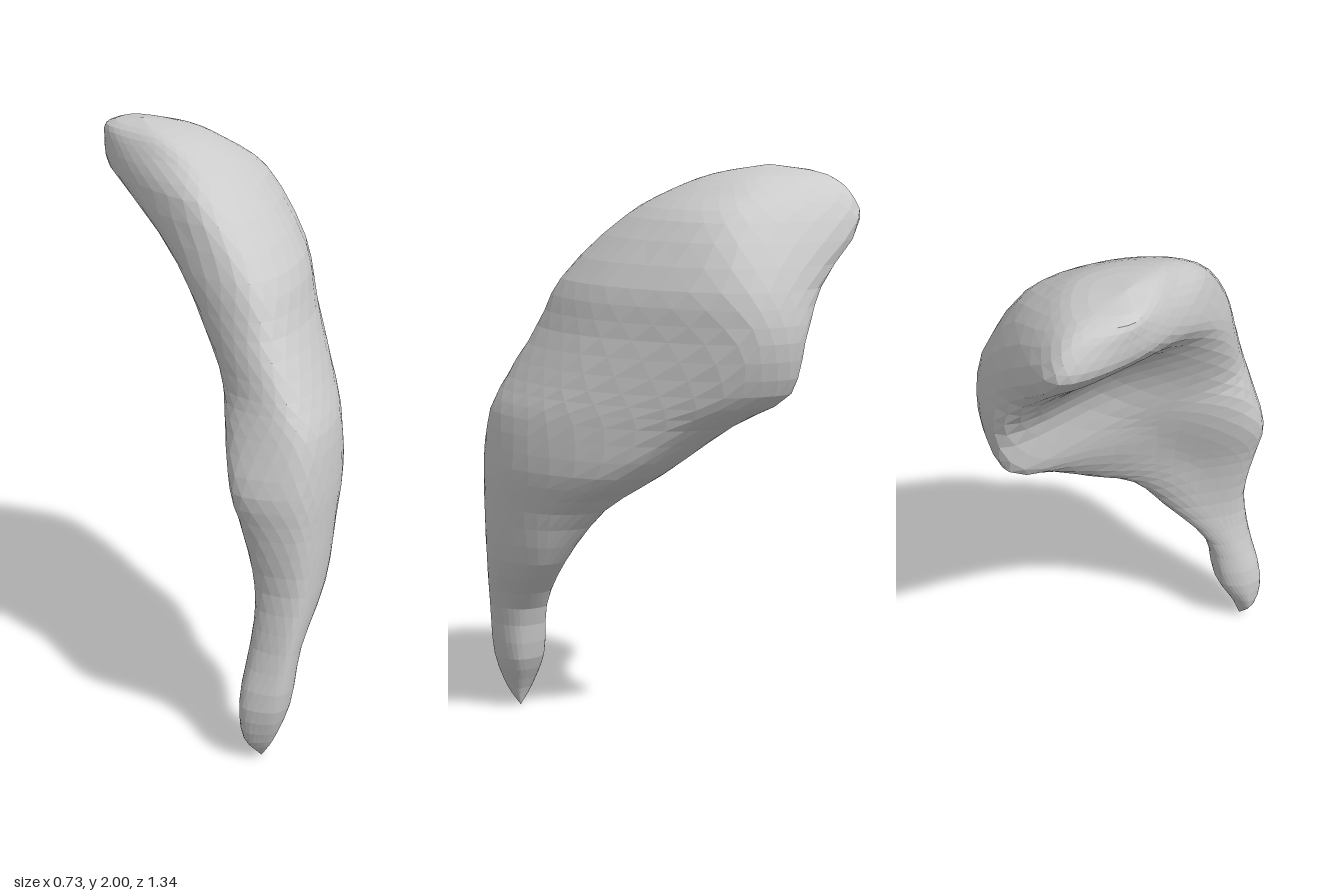
import * as THREE from 'three';

// Horizontal sections, tip to crown: height, then x, z of the left edge,
// the front, the right edge and the back.
const SECTIONS = [
  [0.07, -.345, .57, -.30, .605, -.255, .56, -.29, .525],
  [0.2, -.365, .56, -.30, .65, -.18, .55, -.25, .47],
  [0.4, -.31, .55, -.25, .66, -.14, .53, -.20, .45],
  [0.6, -.29, .53, -.21, .66, .015, .45, -.06, .36],
  [0.8, -.33, .52, -.21, .665, .10, .37, .02, .21],
  [0.95, -.365, .50, -.21, .667, .225, .15, .11, 0],
  [1.13, -.33, .43, -.20, .64, .285, -.06, .15, -.245],
  [1.25, -.30, .38, -.21, .58, .33, -.22, .20, -.44],
  [1.43, -.305, .26, -.22, .47, .362, -.31, .21, -.487],
  [1.6, -.312, .12, -.22, .38, .352, -.30, .10, -.535],
  [1.82, -.30, -.20, -.24, .145, .23, -.25, -.065, -.668],
  [1.91, -.28, -.27, -.20, -.01, .11, -.29, -.08, -.63],
  [1.967, -.25, -.32, -.20, -.16, 0, -.32, -.11, -.55],
];
const TIP = new THREE.Vector3(-.288, 0, .56);
const CROWN = new THREE.Vector3(-.18, 2, -.35);
const ROWS = 42, AROUND = 30;

// Point between two corners, pushed sideways (horizontally) by a distance
function pushedPoint(from, to, t, distance) {
  const side = new THREE.Vector3(from.z - to.z, 0, to.x - from.x).normalize();
  return from.clone().lerp(to, t).addScaledVector(side, distance);
}

// Six outline points: the outer face bulges, the inner face is full in the
// tail, slightly hollow in the middle and rounded towards the crown
function outline([y, ...c]) {
  const [left, front, right, back] = [0, 2, 4, 6].map(k => new THREE.Vector3(c[k], y, c[k + 1]));
  const { smoothstep } = THREE.MathUtils;
  const fullness = 0.03 - 0.05 * smoothstep(y, 0.5, 1.1) + 0.1 * smoothstep(y, 1.5, 1.9);
  const outer = pushedPoint(front, right, 0.4, 0.01 + 0.15 * front.distanceTo(right));
  const inner = pushedPoint(back, left, 0.5, fullness);
  return [left, front, outer, right, back, inner];
}

function bladeGeometry() {
  // Lengthwise rails through matching points of all sections
  const outlines = SECTIONS.map(outline);
  const rails = outlines[0].map((_, k) =>
    new THREE.CatmullRomCurve3([TIP, ...outlines.map(o => o[k]), CROWN]));

  // Rings between the tip and the crown, alternate ones staggered
  const points = [];
  for (let i = 1; i < ROWS; i++) {
    const ring = new THREE.CatmullRomCurve3(rails.map(r => r.getPoint(i / ROWS)), true);
    for (let j = 0; j < AROUND; j++) {
      points.push(ring.getPoint((j + (i % 2) * 0.5) / AROUND));
    }
  }
  const tip = points.length, crown = tip + 1, last = tip - AROUND;
  points.push(TIP, CROWN);

  const indices = [];
  for (let j = 0; j < AROUND; j++) {
    const n = (j + 1) % AROUND;
    indices.push(tip, n, j, crown, last + j, last + n);
    for (let row = 0; row < last; row += AROUND) {
      const a = row + j, b = row + n, c = a + AROUND, d = b + AROUND;
      if ((row / AROUND) % 2) indices.push(a, b, c, b, d, c);
      else indices.push(a, d, c, a, b, d);
    }
  }
  const geometry = new THREE.BufferGeometry().setFromPoints(points);
  geometry.setIndex(indices);
  geometry.computeVertexNormals();
  return geometry;
}

export function createModel() {
  const group = new THREE.Group();
  group.name = 'curvedOrgan';
  const body = new THREE.Mesh(bladeGeometry(),
    new THREE.MeshStandardMaterial({ color: 0xcccccc, flatShading: true }));
  body.name = 'taperedBody';
  group.add(body);
  return group;
}
